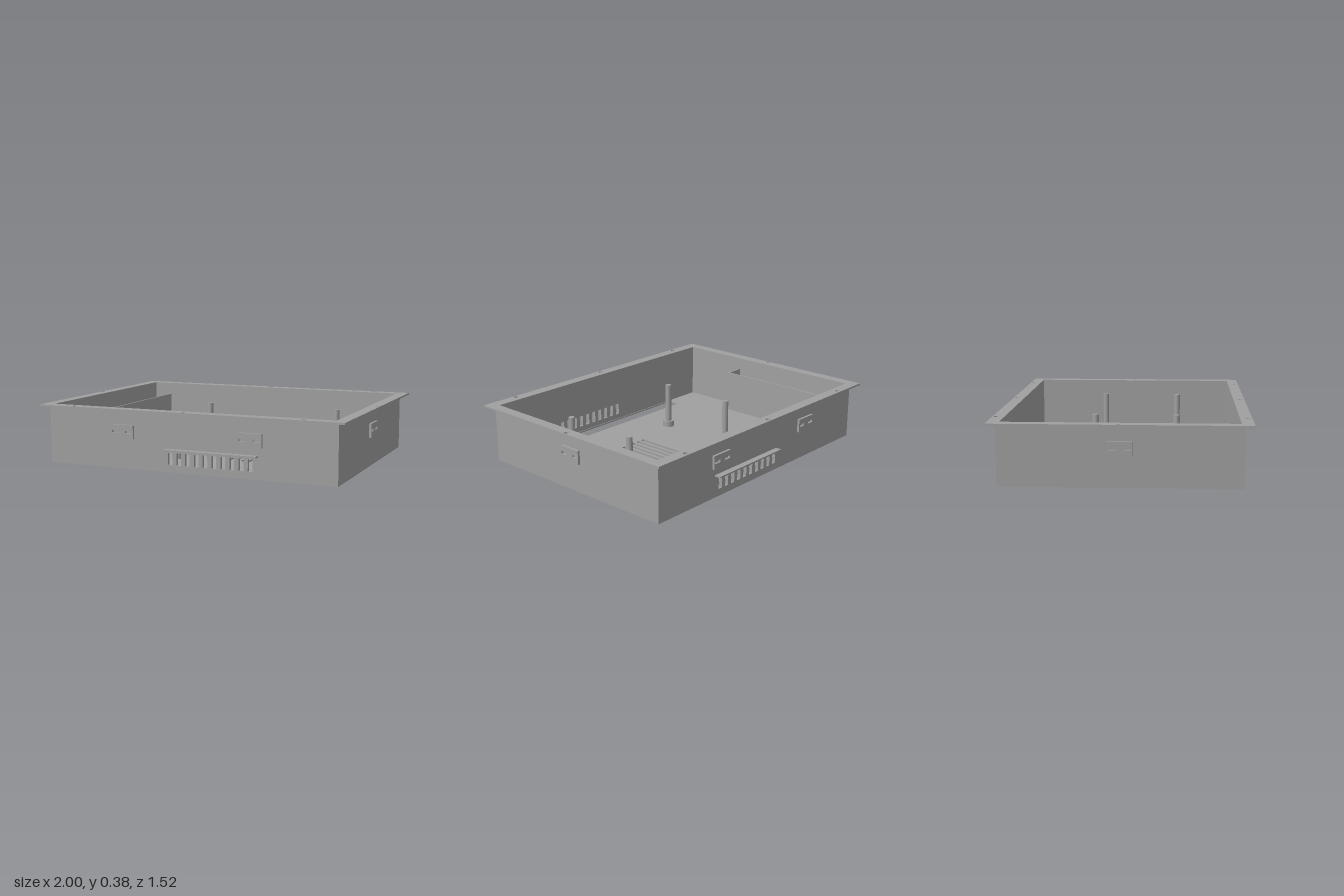
import * as THREE from 'three';

const metal = new THREE.MeshStandardMaterial({ color: 0xa0a0a0 });
metal.name = 'grey sheet metal';

// Closed outline helper: pts is [[x, y], ...]
const outline = (pts, Type = THREE.Path) => new Type(pts.map(([x, y]) => new THREE.Vector2(x, y)));
const rect = (x0, y0, x1, y1, Type) => outline([[x0, y0], [x1, y0], [x1, y1], [x0, y1]], Type);
const circle = (x, y, r) => new THREE.Path().absarc(x, y, r, 0, Math.PI * 2);

// Plate with holes, extruded along +z
function plate(shape, holes, depth) {
  shape.holes.push(...holes);
  return new THREE.ExtrudeGeometry(shape, { depth, bevelEnabled: false, curveSegments: 10 });
}
// Lay a plate flat: shape (x, y) becomes (x, z), spanning y0 .. y0 + depth
const flat = (geo, depth, y0) => geo.rotateX(Math.PI / 2).translate(0, y0 + depth, 0);

export function createModel() {
  const model = new THREE.Group();
  model.name = 'enclosureTray';
  const add = (name, geo) => {
    const mesh = new THREE.Mesh(geo, metal);
    mesh.name = name;
    model.add(mesh);
    return mesh;
  };
  const box = (name, x0, x1, y0, y1, z0, z1) =>
    add(name, new THREE.BoxGeometry(x1 - x0, y1 - y0, z1 - z0)
      .translate((x0 + x1) / 2, (y0 + y1) / 2, (z0 + z1) / 2));

  const X = 0.95, Z = 0.71, T = 0.02, FLOOR = 0.01, RIM = 0.363, TOP = 0.375;

  // Floor with long side openings, cable opening and grille
  const floorHoles = [
    rect(-0.65, -0.688, 0.675, -0.595),
    rect(-0.65, 0.59, 0.675, 0.685),
    outline([[0.782, -0.455], [0.922, -0.455], [0.922, 0.62], [0.772, 0.62], [0.772, 0.515], [0.782, 0.515]]),
  ];
  for (let i = 0; i < 8; i++) {
    const x = 0.07 + i * 0.0457;
    floorHoles.push(rect(x, -0.2, x + 0.024, 0.255));
  }
  add('floor', flat(plate(rect(-X, -Z, X, Z, THREE.Shape), floorHoles, FLOOR), FLOOR, 0));

  // Front and back walls with vent slots, rain hood and mounting plates
  const slotPlate = (w, h, slotX, slotW, depth) => {
    const s = [-1, 1].map(k => rect(k * slotX - slotW / 2, -0.008, k * slotX + slotW / 2, 0.008));
    return plate(rect(-w / 2, -h / 2, w / 2, h / 2, THREE.Shape), s, depth);
  };
  for (const [side, s] of [['front', 1], ['back', -1]]) {
    const vents = [];
    for (let i = 0; i < 10; i++) {
      const x = -0.122 + i * 0.058;
      vents.push(rect(x, 0.045, x + 0.03, 0.12));
    }
    add(side + 'Wall', plate(rect(-X, FLOOR, X, RIM, THREE.Shape), vents, T)
      .translate(0, 0, s > 0 ? Z - T : -Z));
    box(side + 'VentHood', -0.13, 0.465, 0.134, 0.144, s > 0 ? Z : -0.75, s > 0 ? 0.75 : -Z);
    for (const x of [-0.428, 0.415]) {
      add(side + 'MountPlate', slotPlate(0.152, 0.086, 0.045, 0.046, 0.015))
        .position.set(x, 0.231, s > 0 ? Z : -Z - 0.015);
    }
  }

  // Side walls with one mounting plate each
  for (const [side, s] of [['left', 1], ['right', -1]]) {
    const inner = s * (X - T), outer = s * X;
    box(side + 'Wall', Math.min(inner, outer), Math.max(inner, outer), FLOOR, RIM, -Z + T, Z - T);
    const p = add(side + 'MountPlate', slotPlate(0.15, 0.088, 0.047, 0.042, 0.015));
    p.rotation.y = s * Math.PI / 2;
    p.position.set(outer, 0.229, 0);
  }

  // Top flange with screw holes
  const screws = [circle(-0.98, 0, 0.014), circle(0.98, 0, 0.014)];
  for (const z of [-0.738, 0.738]) {
    for (const x of [-0.755, 0, 0.755]) screws.push(circle(x, z, 0.015));
  }
  add('flange', flat(plate(rect(-1, -0.762, 1, 0.762, THREE.Shape),
    [rect(-X + T, -Z + T, X - T, Z - T), ...screws], TOP - RIM), TOP - RIM, RIM));

  // L-shaped partition in the back corner
  box('partition', -0.812, -0.802, FLOOR, 0.293, -Z + T, 0.235);
  box('partitionReturn', -X + T, -0.812, FLOOR, 0.293, 0.225, 0.235);

  // Four standoffs: wide collar and slim post
  for (const x of [-0.25, 0.655]) {
    for (const z of [-0.195, 0.32]) {
      add('standoffCollar', new THREE.CylinderGeometry(0.038, 0.038, 0.04, 28)).position.set(x, FLOOR + 0.02, z);
      add('standoffPost', new THREE.CylinderGeometry(0.02, 0.02, 0.26, 24)).position.set(x, 0.18, z);
    }
  }
  return model;
}
